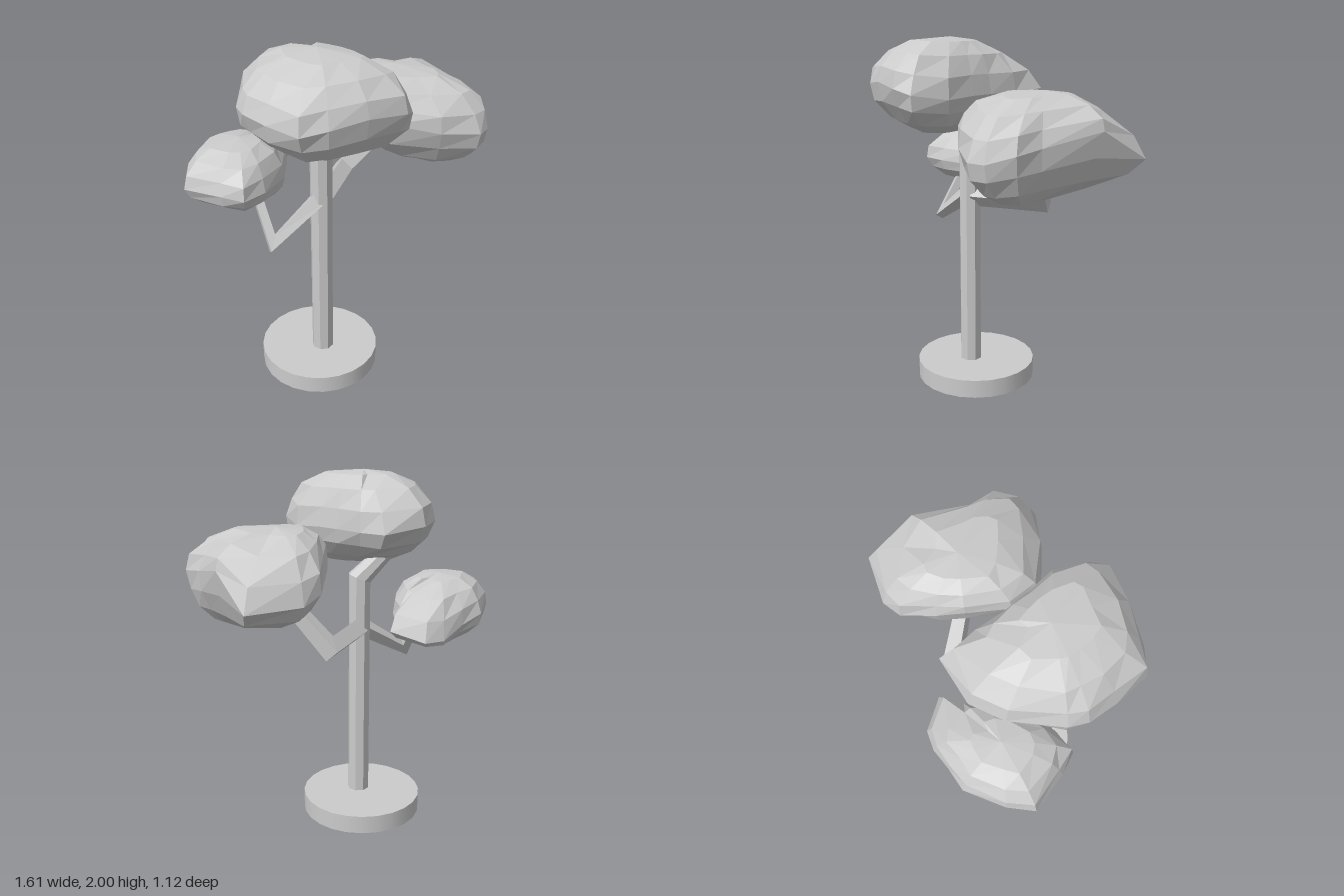
import * as THREE from 'three';

const faceted = new THREE.MeshStandardMaterial({ color: 0xcccccc, flatShading: true });
const smooth = new THREE.MeshStandardMaterial({ color: 0xcccccc });

function addMesh(group, name, geometry, material = faceted) {
  const mesh = new THREE.Mesh(geometry, material);
  mesh.name = name;
  group.add(mesh);
  return mesh;
}

// Joins rings of n points, listed from start to end, into a skin with capped or pointed ends.
function skin(rings, n, pointed) {
  const index = [];
  const last = rings.length - 1;
  for (let j = 0; j < last; j++) {
    for (let i = 0; i < n; i++) {
      const a = j * n + i, b = j * n + ((i + 1) % n), c = b + n, d = a + n;
      if (!pointed || j > 0) index.push(a, b, c);
      if (!pointed || j < last - 1) index.push(a, c, d);
    }
  }
  if (!pointed) {
    for (let i = 1; i < n - 1; i++) {
      index.push(0, i + 1, i, last * n, last * n + i, last * n + i + 1);
    }
  }
  const g = new THREE.BufferGeometry();
  g.setAttribute('position', new THREE.Float32BufferAttribute(rings.flat(2), 3));
  g.setIndex(index);
  g.computeVertexNormals();
  return g;
}

// Limb with mitred elbow: a polygon swept along three points.
function limb(points, radii, sides) {
  const p = points.map((q) => new THREE.Vector3(...q));
  const d0 = p[1].clone().sub(p[0]).normalize();
  const d1 = p[2].clone().sub(p[1]).normalize();
  const side = d0.clone().cross(d1).normalize();
  const mid = d0.clone().add(d1).normalize();
  const tangents = [d0, mid, d1];
  const rings = p.map((c, j) => {
    const up = tangents[j].clone().cross(side);
    const stretch = j === 1 ? 1 / mid.dot(d0) : 1;
    return Array.from({ length: sides }, (_, i) => {
      const a = ((i + 0.5) / sides) * Math.PI * 2;
      return c.clone()
        .addScaledVector(side, Math.cos(a) * radii[j])
        .addScaledVector(up, Math.sin(a) * radii[j] * stretch)
        .toArray();
    });
  });
  return skin(rings, sides, false);
}

// Faceted clump: a skin between its widest outline, a crown and an underside point.
// Outline entries are x, y, z, then sharpness above and below (0.6 boxy, 1 round, 2 pointed).
function clump(outline, crown, under) {
  const angles = [-90, -68, -45, -22, 0, 22, 45, 68, 90];
  const rings = angles.map((deg, j) => {
    const a = THREE.MathUtils.degToRad(Math.abs(deg));
    const pole = deg < 0 ? under : crown;
    return outline.map(([x, y, z, above = 0.75, below = 0.8], i) => {
      const wobble = deg === 0 ? 1 : 1 + 0.03 * Math.sin(i * 2.4 + j * 1.9);
      const r = Math.abs(deg) === 90 ? 0 : Math.cos(a) ** (deg < 0 ? below : above) * wobble;
      return [
        pole[0] + (x - pole[0]) * r,
        y + (pole[1] - y) * Math.sin(a) ** 1.05,
        pole[2] + (z - pole[2]) * r,
      ];
    });
  });
  return skin(rings, outline.length, true);
}

export function createModel() {
  const model = new THREE.Group();
  model.name = 'tree';

  // Round base plate
  const base = addMesh(model, 'base',
    new THREE.CylinderGeometry(0.347, 0.347, 0.105, 24), smooth);
  base.position.set(-0.13, 0.0525, 0.005);

  // Trunk and branches
  addMesh(model, 'trunk', limb(
    [[-0.13, 0.09, 0.04], [-0.13, 1.41, 0.04], [-0.3, 1.6, -0.04]], [0.063, 0.063, 0.045], 8));
  addMesh(model, 'leftBranch', limb(
    [[-0.11, 1.115, 0.025], [0.21, 1.115, -0.225], [0.4, 1.4, -0.05]], [0.063, 0.06, 0.045], 4));
  addMesh(model, 'rightBranch', limb(
    [[-0.13, 1.13, 0.04], [-0.455, 0.945, 0.055], [-0.46, 1.24, -0.12]], [0.055, 0.034, 0.03], 4));

  // Foliage clumps: outlines run left edge, front, right edge, back as seen from the front
  addMesh(model, 'topFoliage', clump([
    [-0.62, 1.75, 0.12, 0.95, 0.95], [-0.59, 1.74, 0.28, 0.95, 1], [-0.53, 1.73, 0.47, 0.9, 1],
    [-0.4, 1.75, 0.52], [-0.2, 1.77, 0.55], [0.02, 1.75, 0.56], [0.1, 1.72, 0.5],
    [0.13, 1.69, 0.3], [0.08, 1.7, 0.13, 0.75, 0.9], [0.04, 1.7, 0, 0.75, 1.1],
    [0, 1.7, -0.18, 0.9, 1.5], [-0.03, 1.71, -0.37, 1.7, 2.2], [-0.3, 1.73, -0.34, 0.95, 1.3],
    [-0.45, 1.74, -0.22, 0.85, 0.95], [-0.6, 1.75, 0.02, 0.95, 0.9],
  ], [-0.2, 2.0, 0.12], [-0.19, 1.48, 0.16]));

  addMesh(model, 'leftFoliage', clump([
    [0.11, 1.58, 0.08, 0.6, 1.05], [0.15, 1.56, 0.26, 0.8, 1.25], [0.4, 1.49, 0.39, 0.75, 0.9],
    [0.62, 1.46, 0.46], [0.71, 1.46, 0.42], [0.79, 1.5, 0.3, 0.85, 0.7],
    [0.77, 1.52, 0.15, 0.85, 0.7], [0.8, 1.58, -0.18, 0.85, 1.1], [0.78, 1.42, -0.46, 1.6, 2],
    [0.49, 1.43, -0.49, 0.9, 1.3], [0.37, 1.47, -0.44, 0.75, 1.3], [0.25, 1.55, -0.28, 0.65, 1.2],
    [0.18, 1.6, -0.15, 0.6, 1.1],
  ], [0.43, 1.75, -0.07], [0.56, 1.22, 0.1]));

  addMesh(model, 'rightFoliage', clump([
    [-0.81, 1.26, -0.22, 0.7, 0.95], [-0.7, 1.27, -0.02, 0.7, 1], [-0.62, 1.26, 0.08, 0.8, 1.1],
    [-0.48, 1.26, 0.05, 0.75, 1], [-0.3, 1.25, -0.06], [-0.2, 1.25, -0.2],
    [-0.13, 1.24, -0.33, 0.95], [-0.04, 1.22, -0.42, 1.7, 1.4], [-0.17, 1.17, -0.55, 1.1],
    [-0.28, 1.17, -0.56, 0.85], [-0.42, 1.23, -0.53], [-0.56, 1.27, -0.51], [-0.73, 1.27, -0.35],
  ], [-0.46, 1.46, -0.25], [-0.45, 1.1, -0.25]));

  return model;
}
